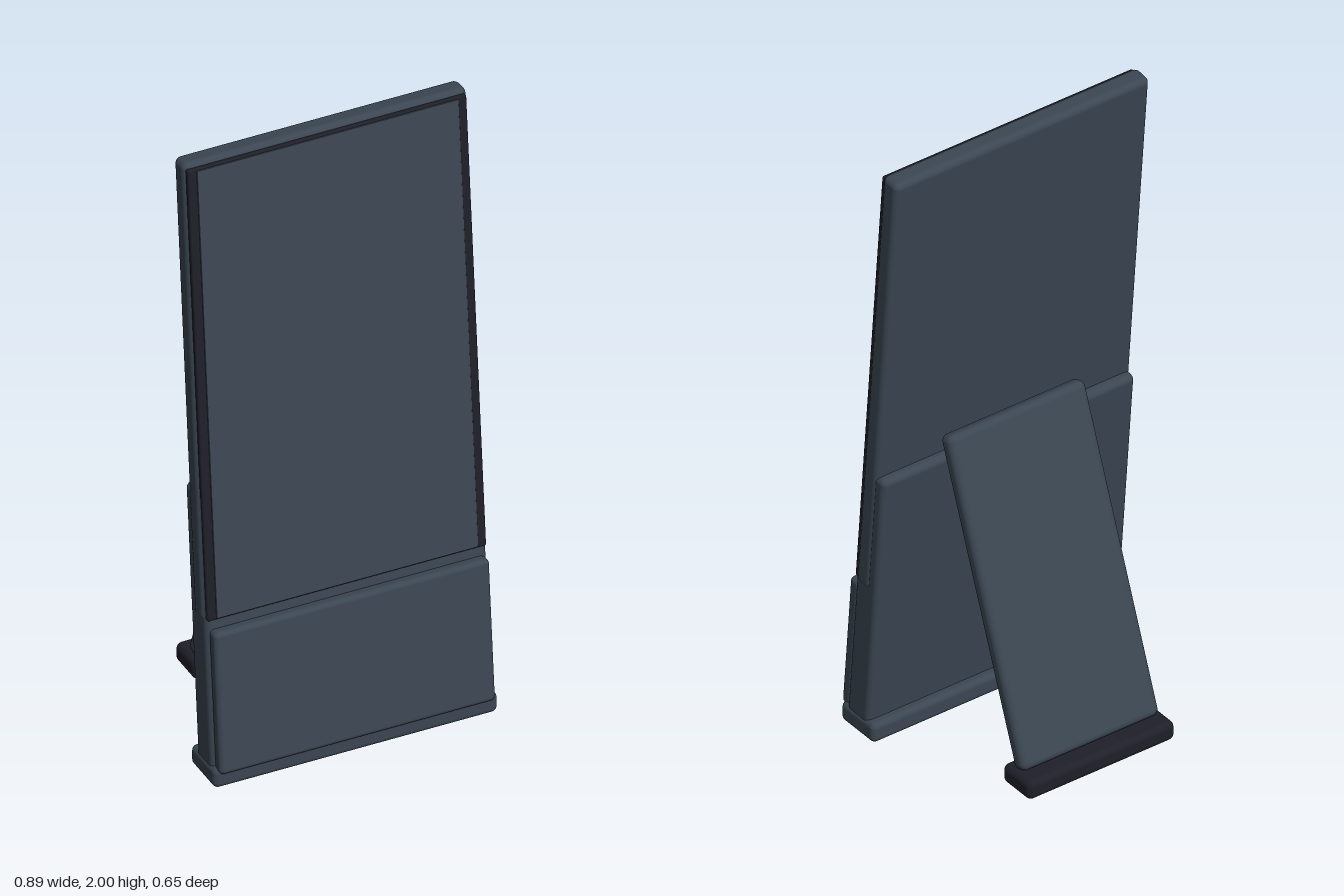
import * as THREE from 'three';
import { RoundedBoxGeometry } from 'three/addons/geometries/RoundedBoxGeometry.js';

const slate = new THREE.MeshStandardMaterial({ color: 0x3b4652 });
slate.name = 'slate body';
const glass = new THREE.MeshStandardMaterial({ color: 0x3d4653 });
glass.name = 'screen glass';
const black = new THREE.MeshStandardMaterial({ color: 0x1f1f29 });
black.name = 'black trim';

// Rounded box given by its half width and its y and z ranges
function slab(parent, name, material, halfWidth, [y0, y1], [z0, z1], radius) {
  const geometry = new RoundedBoxGeometry(halfWidth * 2, y1 - y0, z1 - z0, 4, radius);
  const mesh = new THREE.Mesh(geometry, material);
  mesh.name = name;
  mesh.position.set(0, (y0 + y1) / 2, (z0 + z1) / 2);
  parent.add(mesh);
  return mesh;
}

export function createModel() {
  const model = new THREE.Group();
  model.name = 'standingDisplay';

  // Display leaning back by five degrees
  const display = new THREE.Group();
  display.name = 'leaningDisplay';
  display.rotation.x = THREE.MathUtils.degToRad(-5);
  model.add(display);
  slab(display, 'screenPanel', slate, 0.445, [0.5, 1.983], [0.222, 0.29], 0.02);
  slab(display, 'bezel', black, 0.437, [0.508, 1.968], [0.27, 0.301], 0.006);
  slab(display, 'screen', glass, 0.41, [0.513, 1.962], [0.298, 0.304], 0.002);
  slab(display, 'rearHousing', slate, 0.441, [0.02, 0.917], [0.193, 0.296], 0.02);
  slab(display, 'frontPlate', slate, 0.432, [0.022, 0.48], [0.288, 0.332], 0.015);

  // Base bar under the display
  slab(model, 'baseBar', slate, 0.445, [0, 0.065], [0.158, 0.315], 0.018);

  // Rear strut sloping down to its foot
  const strut = slab(model, 'rearStrut', slate, 0.24, [0, 1.02], [-0.028, 0.028], 0.022);
  strut.position.set(0, 0.537, -0.076);
  strut.rotation.x = THREE.MathUtils.degToRad(20.5);
  slab(model, 'rearFoot', black, 0.257, [0, 0.063], [-0.326, -0.195], 0.02);

  return model;
}
